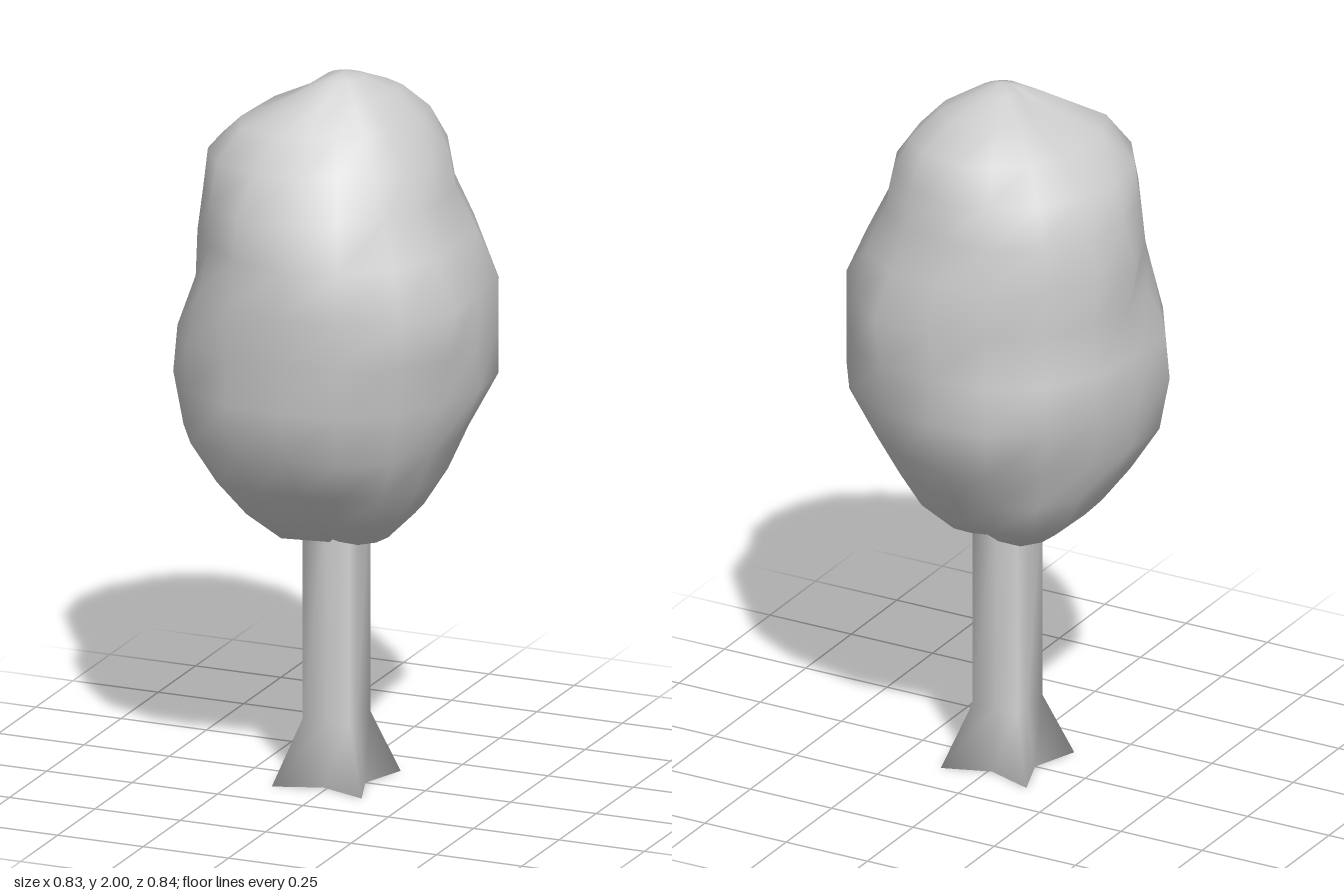
import * as THREE from 'three';

// Closed skin over rings of [x, y, z] points (counted from +x towards +z), with a tip point at each end.
function loft(rings, bottom, top) {
  const n = rings[0].length, last = rings.length - 1;
  const points = [...rings.flat(), bottom, top];
  const lowTip = rings.length * n, highTip = lowTip + 1;
  const index = [];
  for (let j = 0; j < n; j++) {
    const k = (j + 1) % n;
    for (let i = 0; i < last; i++) {
      const a = i * n + j, b = i * n + k, c = a + n, d = b + n;
      index.push(a, c, b, b, c, d);
    }
    index.push(lowTip, j, k, highTip, last * n + k, last * n + j);
  }
  const geometry = new THREE.BufferGeometry();
  geometry.setAttribute('position', new THREE.Float32BufferAttribute(points.flat(), 3));
  geometry.setIndex(index);
  geometry.computeVertexNormals();
  return geometry;
}

// Ring at height y from evenly spaced radii around a centre on x.
function ring(y, radii, cx = 0) {
  return radii.map((r, i) => {
    const t = (i / radii.length) * Math.PI * 2;
    return [cx + r * Math.cos(t), y, r * Math.sin(t)];
  });
}

// Doubles the number of radii with a smooth periodic curve.
function refine(r) {
  const n = r.length;
  return r.flatMap((v, i) => {
    const next = r[(i + 1) % n];
    return [v, (9 * (v + next) - r[(i + n - 1) % n] - r[(i + 2) % n]) / 16];
  });
}

// Foliage lumps and dents: azimuth in degrees, height, amount
const lumps = [
  [157, 1.18, 0.025], [192, 1.52, 0.015], [337, 1.40, 0.035], [22, 1.40, 0.03],
  [292, 1.40, 0.04], [250, 1.12, 0.03], [67, 1.13, 0.015], [210, 1.18, 0.015],
  [105, 1.42, 0.015], [250, 1.65, 0.015], [22, 1.10, -0.01], [157, 1.45, -0.01],
];

// Sum of the lumps at an azimuth and height.
function lumpiness(azimuth, y) {
  return lumps.reduce((sum, [a, h, amount]) => {
    const turn = (((azimuth - a + 540) % 360) - 180) / 18;
    const rise = (y - h) / 0.16;
    return sum + amount * Math.exp(-turn * turn - rise * rise);
  }, 0);
}

export function createModel() {
  const tree = new THREE.Group();
  tree.name = 'tree';
  const material = new THREE.MeshStandardMaterial({ color: 0xcccccc });

  // Crown: height, then radii every 45 degrees from +x towards +z
  const crownRows = [
    [0.70, 0.14, 0.13, 0.07, 0.17, 0.16, 0.16, 0.09, 0.14],
    [0.78, 0.22, 0.23, 0.18, 0.27, 0.25, 0.27, 0.20, 0.23],
    [0.88, 0.29, 0.305, 0.28, 0.355, 0.32, 0.32, 0.27, 0.29],
    [1.00, 0.34, 0.38, 0.36, 0.43, 0.385, 0.36, 0.36, 0.355],
    [1.15, 0.41, 0.40, 0.405, 0.44, 0.405, 0.415, 0.40, 0.43],
    [1.28, 0.395, 0.415, 0.39, 0.44, 0.40, 0.405, 0.385, 0.415],
    [1.42, 0.39, 0.44, 0.415, 0.41, 0.38, 0.385, 0.405, 0.40],
    [1.55, 0.335, 0.385, 0.40, 0.38, 0.40, 0.395, 0.365, 0.38],
    [1.67, 0.295, 0.325, 0.385, 0.375, 0.365, 0.375, 0.345, 0.33],
    [1.78, 0.27, 0.26, 0.285, 0.355, 0.345, 0.335, 0.33, 0.31],
    [1.87, 0.195, 0.19, 0.19, 0.285, 0.24, 0.27, 0.28, 0.26],
    [1.94, 0.13, 0.11, 0.10, 0.15, 0.09, 0.14, 0.16, 0.18],
    [1.985, 0.06, 0.05, 0.05, 0.05, 0.04, 0.05, 0.06, 0.07],
  ];
  const crownRings = crownRows.map(([y, ...radii]) =>
    ring(y, refine(radii).map((r, i) => r + lumpiness(i * 22.5, y))));
  const crown = new THREE.Mesh(loft(crownRings, [0.05, 0.67, 0], [0.01, 2, 0]), material);
  crown.name = 'crown';

  // Trunk: fluted four-cornered post flaring into four diagonal roots
  const cx = -0.011;
  const star = (y, side, corner) =>
    ring(y, Array.from({ length: 8 }, (_, i) => (i % 2 ? corner : side)), cx);
  const trunkRings = [star(0, 0.085, 0.186), star(0.18, 0.06, 0.098), star(0.8, 0.06, 0.098)];
  const trunk = new THREE.Mesh(loft(trunkRings, [cx, 0, 0], [cx, 0.8, 0]), material);
  trunk.name = 'trunk';

  tree.add(crown, trunk);
  return tree;
}
